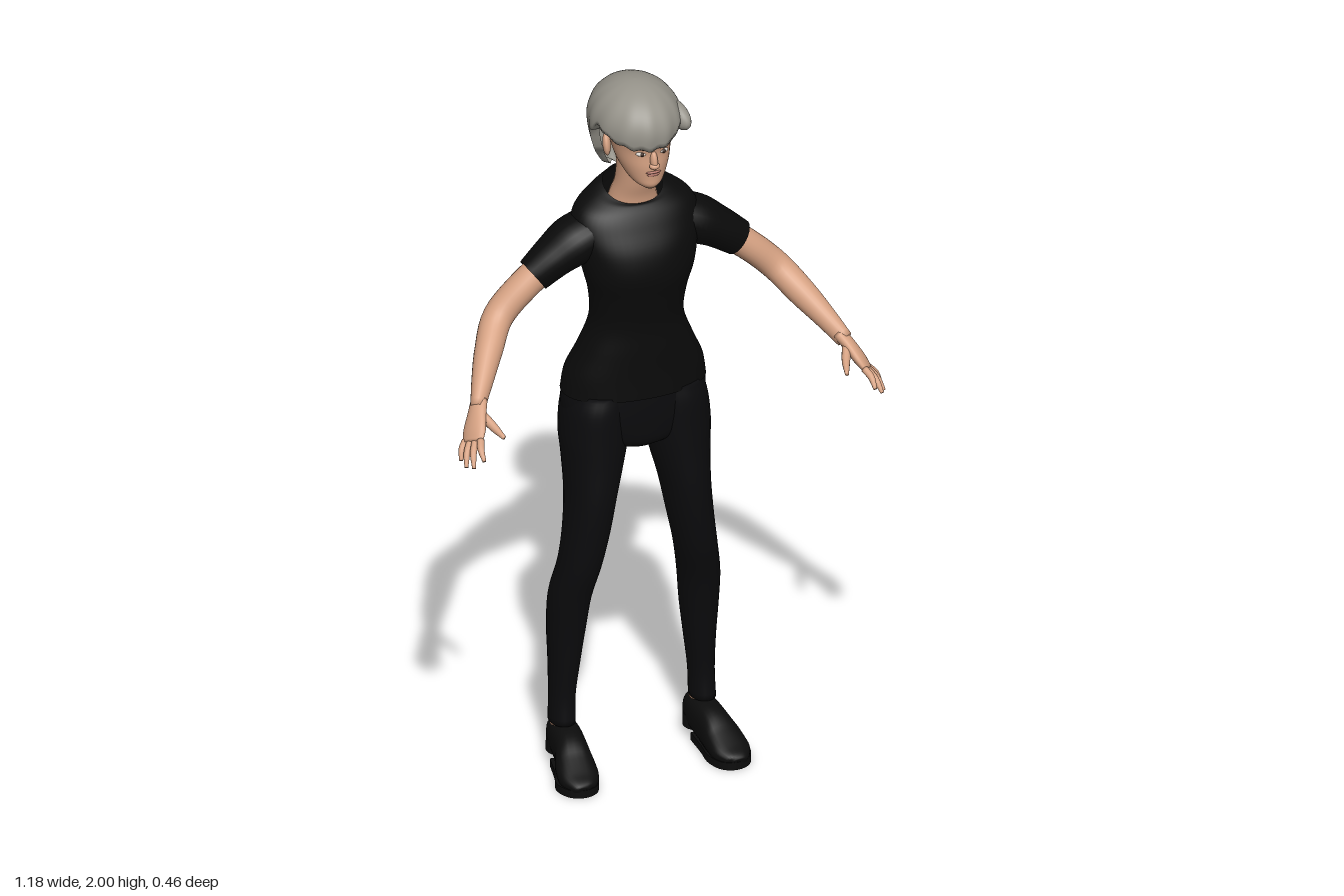
import * as THREE from 'three';

const material = (name, color, side = THREE.FrontSide) =>
  Object.assign(new THREE.MeshStandardMaterial({ color, side }), { name });

// Closed skin through elliptical sections [x, y, z, ra, rb, tilt].
// With no ref the rings stay level (ra along x, rb along z); otherwise they
// stand square to the path, with rb pointing towards ref.
function loft(rows, { ref = null, steps = 5, n = 24, e = 1, caps = true } = {}) {
  const path = new THREE.CatmullRomCurve3(rows.map(r => new THREE.Vector3(r[0], r[1], r[2])), false, 'catmullrom', 0.5);
  const size = new THREE.CatmullRomCurve3(rows.map(r => new THREE.Vector3(r[3], r[4], r[5] || 0)), false, 'catmullrom', 0.5);
  const count = (rows.length - 1) * steps, pos = [], idx = [];
  const soft = v => Math.sign(v) * Math.abs(v) ** e;
  for (let i = 0; i <= count; i++) {
    const c = path.getPoint(i / count), s = size.getPoint(i / count);
    const t = ref ? path.getTangent(i / count) : new THREE.Vector3(0, 1, 0);
    const v = (ref || new THREE.Vector3(0, 0, 1)).clone();
    v.addScaledVector(t, -v.dot(t)).normalize();
    const u = t.clone().cross(v);
    for (let j = 0; j < n; j++) {
      const a = j / n * Math.PI * 2;
      const p = c.clone().addScaledVector(u, soft(Math.sin(a)) * s.x)
        .addScaledVector(v, soft(Math.cos(a)) * s.y).addScaledVector(t, -s.z * Math.cos(a));
      pos.push(p.x, p.y, p.z);
    }
  }
  for (let i = 0; i < count; i++) for (let j = 0; j < n; j++) {
    const k = (j + 1) % n, a = i * n + j, b = i * n + k, c = b + n, d = a + n;
    idx.push(a, b, c, a, c, d);
  }
  if (caps) for (const end of [0, 1]) {
    const p = path.getPoint(end), m = pos.length / 3, o = end * count * n;
    pos.push(p.x, p.y, p.z);
    for (let j = 0; j < n; j++) {
      const a = o + j, b = o + (j + 1) % n;
      end ? idx.push(m, a, b) : idx.push(m, b, a);
    }
  }
  return surface(pos, idx);
}

function surface(pos, idx) {
  const g = new THREE.BufferGeometry();
  g.setAttribute('position', new THREE.Float32BufferAttribute(pos, 3));
  g.setIndex(idx);
  g.computeVertexNormals();
  return g;
}

// Level body sections [y, front z, back z, half width, tilt]
const body = rows => rows.map(([y, f, b, w, tilt]) => [0, y, (f + b) / 2, w, (f - b) / 2, tilt]);

// Hair cap whose lower edge follows a table of [degrees from front, height]
function hairGeometry() {
  const edge = [[-180, 1.72], [-130, 1.735], [-108, 1.79], [-94, 1.87], [-75, 1.9], [-50, 1.875], [-25, 1.862], [0, 1.858],
    [25, 1.868], [45, 1.895], [75, 1.9], [94, 1.87], [108, 1.79], [130, 1.735], [180, 1.72]];
  const n = 96, m = 20, pos = [], idx = [];
  for (let i = 0; i <= m + 1; i++) for (let j = 0; j <= n; j++) {
    const deg = j / n * 360 - 180, a = deg * Math.PI / 180;
    const k = Math.max(1, edge.findIndex(q => q[0] >= deg)), [d0, y0] = edge[k - 1], [d1, y1] = edge[k];
    const low = THREE.MathUtils.lerp(y0, y1, THREE.MathUtils.smoothstep(deg, d0, d1)) + 0.004 * Math.sin(a * 17);
    const t = Math.min(i, m) / m, y = 2 - (2 - low) * t * t;
    let r = y > 1.89 ? Math.sqrt(Math.max(0, 1 - ((y - 1.89) / 0.11) ** 2)) : 1 - 9 * (1.89 - y) ** 1.8;
    r *= 1 + 0.012 * t * Math.sin(a * 13 + t * 4);
    if (i > m) r *= 0.78;
    pos.push(-0.01 + 0.12 * r * Math.sin(a), y, -0.076 + 0.147 * r * Math.cos(a));
  }
  for (let i = 0; i <= m; i++) for (let j = 0; j < n; j++) {
    const a = i * (n + 1) + j, b = a + 1, d = a + n + 1, c = d + 1;
    idx.push(a, d, c, a, c, b);
  }
  return surface(pos, idx);
}

export function createModel() {
  const model = new THREE.Group();
  const skin = material('skin', 0xd6a283), hairMat = material('grey hair', 0x96938a, THREE.DoubleSide);
  const shirtMat = material('black shirt', 0x0a0a0a, THREE.DoubleSide), trouserMat = material('black trousers', 0x0b0b0d);
  const shoeMat = material('black shoes', 0x0c0c0c), white = material('eye white', 0xd8d2cb);
  const dark = material('dark brown', 0x3a2a22), lipMat = material('lips', 0xb5776a);
  const add = (name, geometry, mat, parent = model) => {
    const mesh = new THREE.Mesh(geometry, mat);
    mesh.name = name;
    parent.add(mesh);
    return mesh;
  };
  const blob = (name, mat, [x, y, z], [a, b, c], tilt = [0, 0, 0]) => {
    const mesh = add(name, new THREE.SphereGeometry(1, 20, 14), mat);
    mesh.position.set(x, y, z);
    mesh.scale.set(a, b, c);
    mesh.rotation.set(...tilt);
  };

  // Shirt with a dipped neckline
  add('shirt', loft(body([[1.09, 0.002, -0.23, 0.196], [1.15, 0, -0.222, 0.186], [1.22, 0, -0.2, 0.155], [1.3, 0, -0.183, 0.126],
    [1.38, 0.015, -0.18, 0.13], [1.45, 0.03, -0.185, 0.148], [1.52, 0.02, -0.193, 0.163], [1.58, -0.008, -0.197, 0.174],
    [1.625, -0.028, -0.195, 0.158, 0.01], [1.655, -0.045, -0.19, 0.115, 0.02], [1.67, -0.055, -0.18, 0.078, 0.03]]),
    { n: 48, e: 0.9, caps: false }), shirtMat);

  // Trouser seat
  add('trouserSeat', loft(body([[0.93, -0.04, -0.16, 0.06], [0.955, -0.012, -0.2, 0.13], [1.0, -0.005, -0.218, 0.185],
    [1.06, -0.003, -0.225, 0.196], [1.13, -0.005, -0.22, 0.186]]), { n: 40, e: 0.9 }), trouserMat);

  // Neck, head and face
  add('neck', loft([[0, 1.6, -0.125, 0.075, 0.06], [0, 1.65, -0.115, 0.062, 0.055], [0, 1.7, -0.098, 0.053, 0.053],
    [0, 1.78, -0.085, 0.052, 0.058]]), skin);
  add('head', loft(body([[1.722, 0.022, -0.02, 0.016], [1.735, 0.032, -0.06, 0.036], [1.755, 0.034, -0.095, 0.052],
    [1.79, 0.037, -0.14, 0.068], [1.83, 0.036, -0.165, 0.077], [1.87, 0.044, -0.18, 0.082], [1.91, 0.035, -0.18, 0.08],
    [1.95, -0.01, -0.15, 0.05]]), { n: 36 }), skin);
  blob('nose', skin, [0, 1.813, 0.036], [0.01, 0.028, 0.014], [-0.25, 0, 0]);
  blob('noseTip', skin, [0, 1.798, 0.042], [0.014, 0.009, 0.012]);
  blob('upperLip', lipMat, [0, 1.776, 0.034], [0.021, 0.004, 0.006]);
  blob('lowerLip', lipMat, [0, 1.769, 0.033], [0.017, 0.005, 0.006]);
  add('hair', hairGeometry(), hairMat);
  blob('hairTuft', hairMat, [0.085, 1.905, -0.02], [0.025, 0.032, 0.055], [0.4, 0.3, -0.2]);

  for (const s of [1, -1]) {
    const side = s > 0 ? 'left' : 'right';
    const mirror = rows => rows.map(([x, ...rest]) => [x * s, ...rest]);
    const V = (x, y, z) => new THREE.Vector3(x * s, y, z);

    // Eyes, brows and ears
    blob(side + 'Eye', white, [0.031 * s, 1.831, 0.025], [0.014, 0.006, 0.008], [0, 0.3 * s, 0]);
    blob(side + 'Iris', dark, [0.03 * s, 1.831, 0.03], [0.006, 0.006, 0.005]);
    blob(side + 'Brow', dark, [0.033 * s, 1.848, 0.029], [0.02, 0.0035, 0.005], [0, 0.35 * s, 0.15 * s]);
    blob(side + 'Ear', skin, [0.083 * s, 1.815, -0.088], [0.011, 0.032, 0.02], [-0.2, 0.4 * s, 0]);

    // Sleeve and bare arm
    const front = V(0, 0, 1);
    add(side + 'Sleeve', loft(mirror([[0.09, 1.575, -0.11, 0.05, 0.07], [0.165, 1.54, -0.105, 0.064, 0.075],
      [0.225, 1.505, -0.1, 0.056, 0.063], [0.285, 1.462, -0.095, 0.049, 0.047]]), { ref: front, caps: false }), shirtMat);
    const across = V(0.465, -0.35, -0.81);
    add(side + 'Arm', loft(mirror([[0.22, 1.505, -0.098, 0.042, 0.042], [0.31, 1.437, -0.096, 0.042, 0.04],
      [0.385, 1.365, -0.086, 0.041, 0.039], [0.435, 1.306, -0.025, 0.037, 0.038], [0.475, 1.257, 0.035, 0.029, 0.031],
      [0.51, 1.21, 0.09, 0.019, 0.025]]), { ref: V(0.3, 0.9, 0.3) }), skin);

    // Hand
    add(side + 'Palm', loft(mirror([[0.5, 1.222, 0.075, 0.018, 0.024], [0.517, 1.2, 0.103, 0.017, 0.029],
      [0.535, 1.17, 0.133, 0.016, 0.037], [0.548, 1.147, 0.153, 0.011, 0.034]]), { ref: across }), skin);
    const tips = [[0.543, 1.125, 0.224], [0.567, 1.103, 0.212], [0.58, 1.097, 0.19], [0.583, 1.103, 0.16]];
    tips.forEach(([x, y, z], i) => {
      const k = (i - 1.5) * 0.018, b = [0.546 + 0.465 * k, 1.15 - 0.35 * k, 0.15 - 0.81 * k];
      add(side + 'Finger' + (i + 1), loft(mirror([[...b, 0.01, 0.01],
        [(b[0] + x) / 2 + 0.004, (b[1] + y) / 2 + 0.004, (b[2] + z) / 2, 0.009, 0.009], [x, y, z, 0.005, 0.005]]),
        { ref: across, n: 12 }), skin);
    });
    add(side + 'Thumb', loft(mirror([[0.508, 1.2, 0.11, 0.013, 0.014], [0.49, 1.18, 0.15, 0.011, 0.012],
      [0.476, 1.166, 0.193, 0.005, 0.006]]), { ref: across, n: 12 }), skin);

    // Trouser leg and ankle
    add(side + 'TrouserLeg', loft(mirror([[0.195, 0.12, -0.122, 0.034, 0.047], [0.193, 0.2, -0.125, 0.034, 0.045],
      [0.188, 0.3, -0.123, 0.041, 0.053], [0.184, 0.4, -0.118, 0.05, 0.06], [0.178, 0.5, -0.105, 0.055, 0.066],
      [0.16, 0.6, -0.082, 0.056, 0.069], [0.143, 0.7, -0.078, 0.06, 0.077], [0.13, 0.8, -0.084, 0.066, 0.089],
      [0.119, 0.9, -0.096, 0.08, 0.098], [0.114, 0.97, -0.105, 0.089, 0.105], [0.11, 1.05, -0.11, 0.085, 0.108],
      [0.1, 1.1, -0.11, 0.075, 0.1]]), { n: 28, e: 0.95 }), trouserMat);
    add(side + 'Ankle', loft(mirror([[0.192, 0.06, -0.125, 0.03, 0.038], [0.193, 0.16, -0.125, 0.03, 0.041]])), skin);

    // Shoe upper, sole and heel block
    add(side + 'Shoe', loft(mirror([[0.188, 0.075, -0.174, 0.022, 0.03], [0.189, 0.073, -0.155, 0.036, 0.046],
      [0.191, 0.07, -0.11, 0.042, 0.052], [0.197, 0.06, -0.05, 0.044, 0.053], [0.205, 0.044, 0, 0.052, 0.04],
      [0.211, 0.031, 0.05, 0.052, 0.026], [0.214, 0.024, 0.082, 0.034, 0.018], [0.214, 0.02, 0.093, 0.016, 0.01]]),
      { ref: V(0, 1, 0), e: 0.8 }), shoeMat);
    const outline = [[0.155, -0.1], [0.155, -0.03], [0.153, 0.03], [0.172, 0.078], [0.21, 0.095], [0.25, 0.078],
      [0.268, 0.03], [0.25, -0.03], [0.236, -0.1]];
    const sole = new THREE.Shape();
    sole.moveTo(outline[0][0] * s, -outline[0][1]);
    sole.splineThru(outline.slice(1).map(([x, z]) => new THREE.Vector2(x * s, -z)));
    add(side + 'Sole', new THREE.ExtrudeGeometry(sole, { depth: 0.022, bevelEnabled: false, curveSegments: 40 })
      .rotateX(-Math.PI / 2), shoeMat);
    const heel = add(side + 'Heel', new THREE.CylinderGeometry(0.042, 0.043, 0.035, 24), shoeMat);
    heel.position.set(0.19 * s, 0.045, -0.132);
  }
  return model;
}
